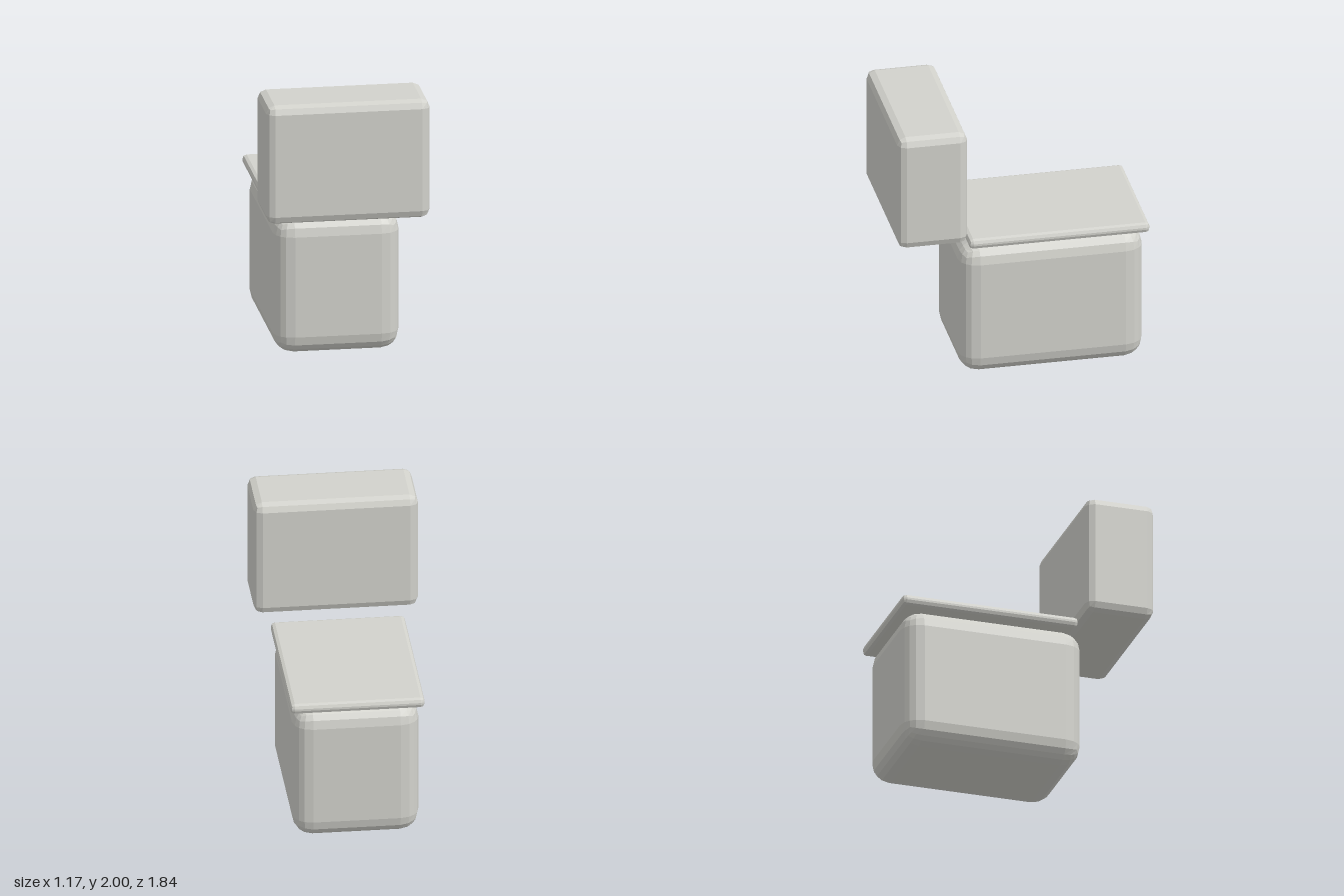
import * as THREE from 'three';
import { RoundedBoxGeometry } from 'three/addons/geometries/RoundedBoxGeometry.js';

// Faceted rounded box given by its [min, max] range on each axis
function roundedBlock(name, [x0, x1], [y0, y1], [z0, z1], segments, radius, material) {
  const geometry = new RoundedBoxGeometry(x1 - x0, y1 - y0, z1 - z0, segments, radius);
  const mesh = new THREE.Mesh(geometry, material);
  mesh.name = name;
  mesh.position.set((x0 + x1) / 2, (y0 + y1) / 2, (z0 + z1) / 2);
  return mesh;
}

export function createModel() {
  const ceramic = new THREE.MeshStandardMaterial({ color: 0xd2d2cc, flatShading: true });
  ceramic.name = 'ceramic';

  const model = new THREE.Group();
  model.name = 'toilet';
  model.add(
    // Heavy base with large soft edges
    roundedBlock('bowl', [-0.45, 0.45], [0, 1.02], [-0.89, 0.44], 2, 0.14, ceramic),
    // Thin slab resting on the base
    roundedBlock('lid', [-0.48, 0.475], [1.02, 1.095], [-0.92, 0.385], 1, 0.03, ceramic),
    // Wide upright block floating beyond the lid
    roundedBlock('tank', [-0.585, 0.585], [1.125, 2], [0.415, 0.92], 1, 0.06, ceramic),
  );
  return model;
}
